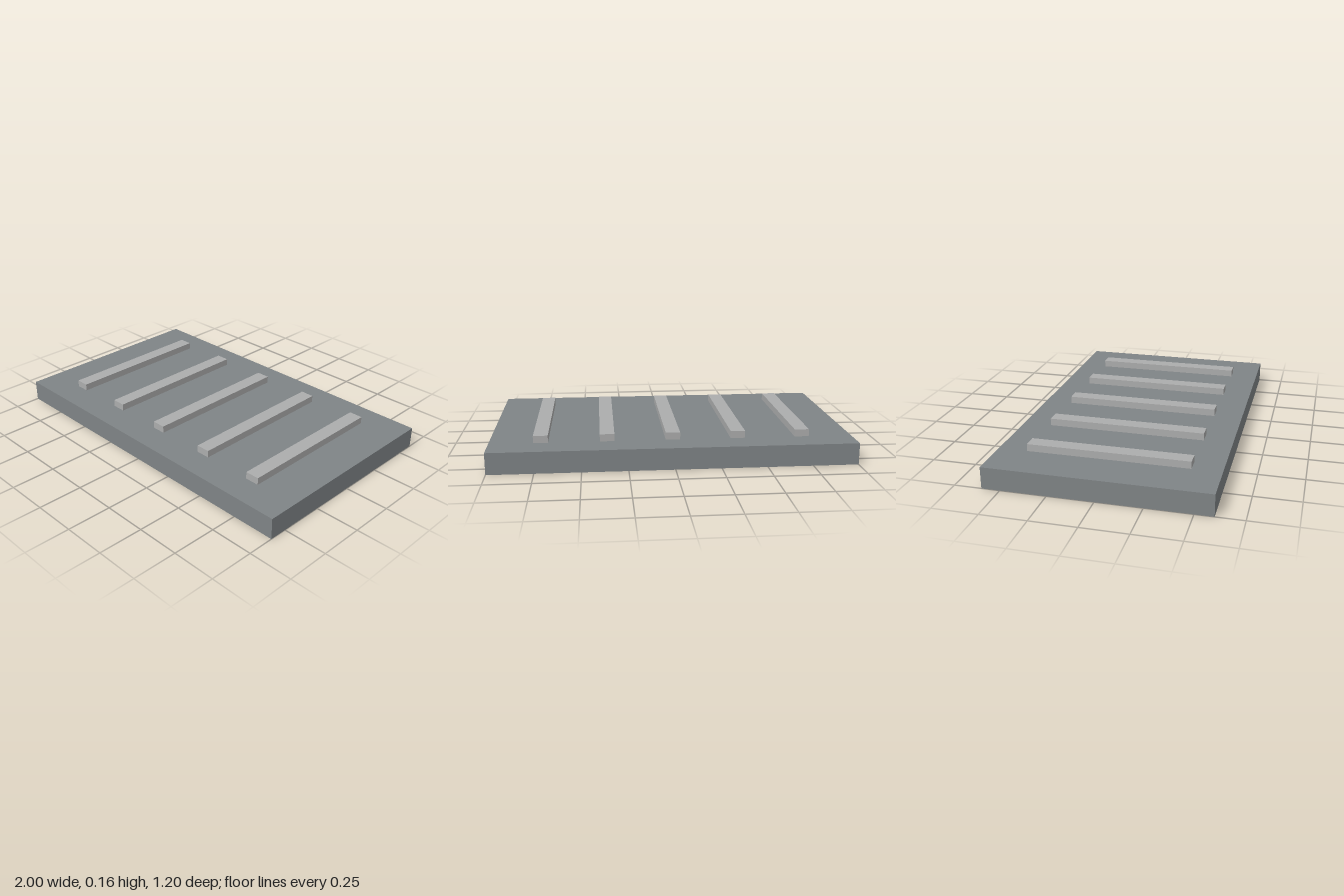
import * as THREE from 'three';

export function createModel() {
  const model = new THREE.Group();
  model.name = 'ribbedPlate';

  const darkGrey = new THREE.MeshStandardMaterial({ color: 0x7f8486 });
  darkGrey.name = 'dark grey';
  const lightGrey = new THREE.MeshStandardMaterial({ color: 0xacadad });
  lightGrey.name = 'light grey';

  // Box standing on the given height
  function addBox(name, material, [w, h, d], x, bottom) {
    const mesh = new THREE.Mesh(new THREE.BoxGeometry(w, h, d), material);
    mesh.name = name;
    mesh.position.set(x, bottom + h / 2, 0);
    model.add(mesh);
  }

  // Base slab
  addBox('baseSlab', darkGrey, [2, 0.12, 1.2], 0, 0);

  // Five evenly spaced raised ribs
  for (let i = -2; i <= 2; i++) {
    addBox(`rib${i + 3}`, lightGrey, [0.08, 0.04, 0.88], i * 0.36, 0.12);
  }

  return model;
}
